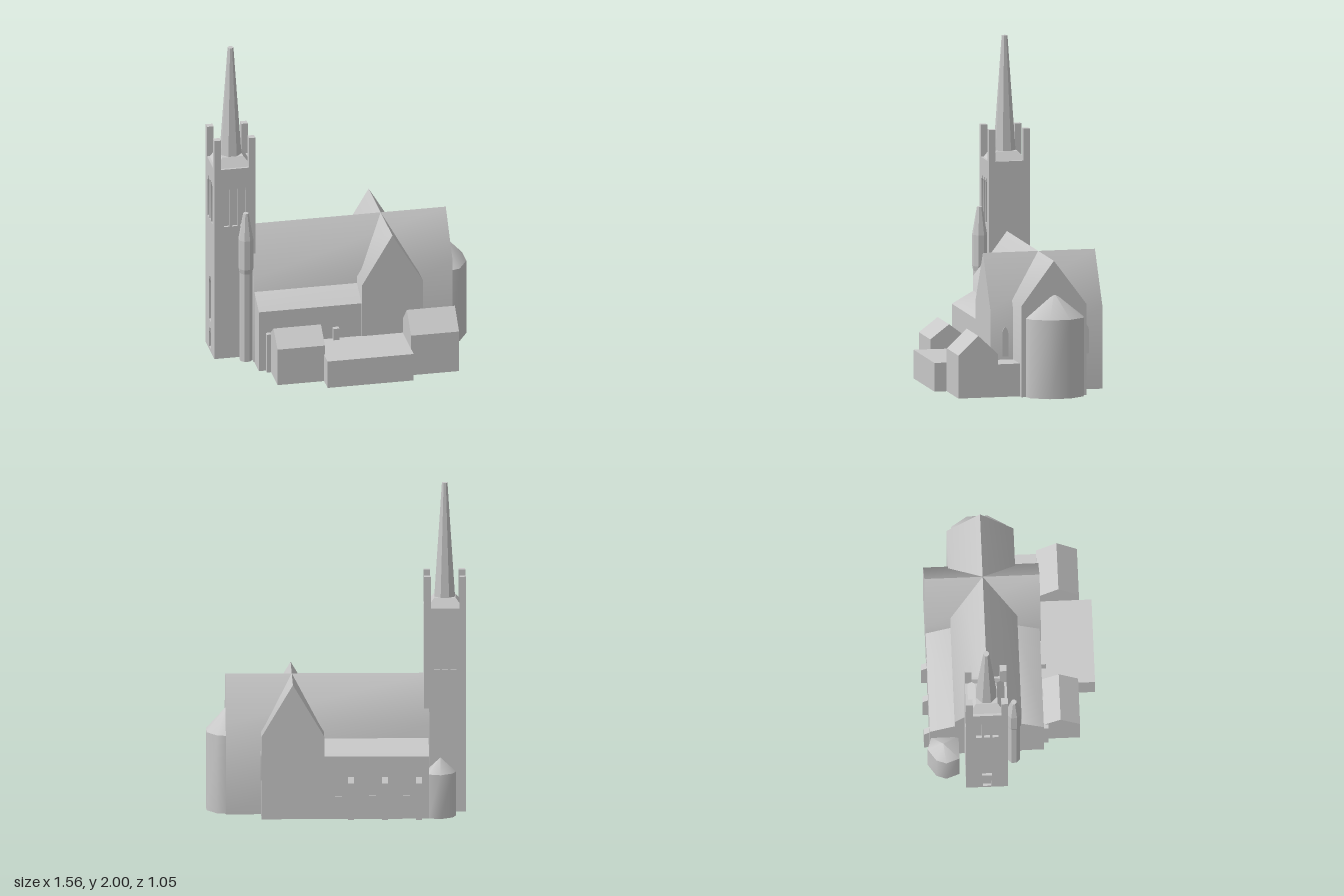
import * as THREE from 'three';
import { toCreasedNormals } from 'three/addons/utils/BufferGeometryUtils.js';

const stone = new THREE.MeshStandardMaterial({ color: 0xc8c8c8 });
stone.name = 'pale stone';

export function createModel() {
  const model = new THREE.Group();
  model.name = 'church';

  const add = (name, geo, x = 0, y = 0, z = 0, ry = 0) => {
    const mesh = new THREE.Mesh(geo, stone);
    mesh.name = name;
    mesh.position.set(x, y, z);
    mesh.rotation.y = ry;
    model.add(mesh);
  };

  // Box given by its limits on each axis
  const block = (name, x0, x1, y0, y1, z0, z1) =>
    add(name, new THREE.BoxGeometry(x1 - x0, y1 - y0, z1 - z0), (x0 + x1) / 2, (y0 + y1) / 2, (z0 + z1) / 2);

  // Extrusion whose shallow edges, such as steep eaves, shade smoothly
  const polygon = (pts) => new THREE.Shape(pts.map(([a, b]) => new THREE.Vector2(a, b)));
  const extrude = (shape, depth) =>
    toCreasedNormals(new THREE.ExtrudeGeometry(shape, { depth, bevelEnabled: false, curveSegments: 6 }), 0.75);

  // Profile in (z, y) swept along x
  const sweepX = (name, pts, x0, x1) =>
    add(name, extrude(polygon(pts.map(([z, y]) => [-z, y])), x1 - x0), x0, 0, 0, Math.PI / 2);

  // Gabled volume with its ridge along x
  const gableX = (name, x0, x1, z0, z1, eave, ridge) =>
    sweepX(name, [[z0, 0], [z1, 0], [z1, eave], [(z0 + z1) / 2, ridge], [z0, eave]], x0, x1);

  // Pointed window outline
  const lancet = (PathType, x, y0, y1, w) => {
    const p = new PathType();
    const spring = y1 - w * 1.1;
    p.moveTo(x - w / 2, y0);
    p.lineTo(x + w / 2, y0);
    p.lineTo(x + w / 2, spring);
    p.quadraticCurveTo(x + w / 2, y1 - w * 0.5, x, y1);
    p.quadraticCurveTo(x - w / 2, y1 - w * 0.5, x - w / 2, spring);
    p.closePath();
    return p;
  };

  // Wall panel pierced by windows [x, bottom, top, width]
  const panel = (width, height, depth, windows) => {
    const w = width / 2;
    const shape = polygon([[-w, 0], [w, 0], [w, height], [-w, height]]);
    windows.forEach((o) => shape.holes.push(lancet(THREE.Path, ...o)));
    return extrude(shape, depth);
  };

  // Many-sided wall with a pointed roof over the outline [x, z]
  const roundedBay = (name, pts, eave, apex) => {
    const wall = [], roof = [];
    pts.forEach(([ax, az], i) => {
      const [bx, bz] = pts[(i + 1) % pts.length];
      wall.push(ax, 0, az, bx, 0, bz, bx, eave, bz, ax, 0, az, bx, eave, bz, ax, eave, az);
      roof.push(ax, eave, az, bx, eave, bz, ...apex);
    });
    [['Wall', wall], ['Roof', roof]].forEach(([part, list]) => {
      const g = new THREE.BufferGeometry();
      g.setAttribute('position', new THREE.Float32BufferAttribute(list, 3));
      add(name + part, toCreasedNormals(g, 1.1));
    });
    const floor = new THREE.ShapeGeometry(polygon(pts));
    floor.rotateX(Math.PI / 2);
    add(name + 'Floor', floor);
  };

  // Nave and chancel under one long roof
  gableX('nave', -0.56, 0.667, -0.338, 0.066, 0.555, 0.825);

  // Transept crossing the nave
  const crossProfile = [[0.077, 0], [0.455, 0], [0.455, 0.508], [0.266, 0.825], [0.077, 0.508]];
  add('transept', extrude(polygon(crossProfile), 0.695), 0, 0, -0.488);
  for (const z of [-0.385, 0.115]) {
    const plate = extrude(lancet(THREE.Shape, 0, 0.22, 0.4, 0.036), 0.005);
    add('transeptWindow', plate, 0.455, 0, z, Math.PI / 2);
  }

  // Lean-to aisles; the north wall has recessed lancets
  sweepX('southAisle', [[0, 0], [0.2, 0], [0.2, 0.39], [0.066, 0.465], [0, 0.465]], -0.555, 0.08);
  sweepX('northAisle', [[-0.3, 0], [-0.3, 0.465], [-0.338, 0.465], [-0.488, 0.384], [-0.488, 0.383],
    [-0.473, 0.383], [-0.473, 0]], -0.555, 0.08);
  const aisleWindows = [-0.42, -0.215, -0.01].map((x) => [-(x + 0.2375), 0.14, 0.28, 0.042]);
  add('northAisleWall', panel(0.635, 0.383, 0.015, aisleWindows), -0.2375, 0, -0.473, Math.PI);

  // Buttresses, sloped on the north and flat-topped on the south
  for (const x of [-0.495, -0.288, -0.083]) {
    for (const [wall, out, low, high] of [[-0.48, -0.522, 0.225, 0.265], [0.19, 0.23, 0.25, 0.25]]) {
      sweepX('buttress', [[wall, 0], [out, 0], [out, low], [wall, high]], x - 0.018, x + 0.018);
    }
  }

  // Apse at the east end
  roundedBay('apse', [[0.64, 0.038], [0.665, 0.038], [0.72, 0.022], [0.782, -0.083], [0.782, -0.21],
    [0.72, -0.307], [0.665, -0.322], [0.64, -0.322]], 0.48, [0.655, 0.63, -0.14]);

  // Low baptistery bay beside the tower
  roundedBay('baptistery', [[-0.55, -0.315], [-0.55, -0.48], [-0.625, -0.505], [-0.698, -0.455],
    [-0.72, -0.395], [-0.692, -0.315]], 0.27, [-0.625, 0.36, -0.41]);

  // Vestries and hall along the south side
  gableX('westVestry', -0.487, -0.195, 0.187, 0.421, 0.235, 0.323);
  block('flatHall', -0.2, 0.33, 0, 0.175, 0.19, 0.523);
  gableX('eastVestry', 0.33, 0.626, 0.2, 0.447, 0.262, 0.378);
  block('linkRoom', 0.45, 0.626, 0, 0.2, 0.06, 0.21);

  // Tower: core and four walls, three of them pierced
  const tx = -0.656, tz = -0.152, half = 0.126, inset = 0.015, top = 1.25;
  block('towerCore', tx - half + inset, tx + half - inset, 0, top - 0.005, tz - half + inset, tz + half - inset);
  const belfry = [-0.05, 0, 0.05].map((x) => [x, 0.87, 1.14, 0.036]);
  const westDoor = [[0, 0.2, 0.5, 0.06], [0, 0.02, 0.16, 0.05]];
  const sides = [belfry, [], belfry, [...belfry, ...westDoor]];
  sides.forEach((windows, i) => {
    const a = i * Math.PI / 2;
    const width = i % 2 ? 2 * (half - inset) : 2 * half;
    add('towerWall', panel(width, top, inset, windows),
      tx + Math.sin(a) * (half - inset), 0, tz + Math.cos(a) * (half - inset), a);
  });

  // Corner pinnacles
  for (const sx of [-1, 1]) {
    for (const sz of [-1, 1]) {
      add('pinnacle', new THREE.BoxGeometry(0.04, 0.215, 0.04), tx + sx * 0.106, 1.3375, tz + sz * 0.106);
    }
  }

  // Spire rising from a low pyramid
  const faceted = (rTop, rBottom, h, n) => {
    const g = new THREE.CylinderGeometry(rTop, rBottom, h, n).toNonIndexed();
    g.rotateY(Math.PI / n);
    g.computeVertexNormals();
    return g;
  };
  add('spireBase', faceted(0.092, 0.157, 0.055, 4), tx, 1.275, tz);
  add('spire', faceted(0.018, 0.07, 0.74, 8), tx, 1.63, tz);

  // Slim stair turret with its own small spire
  const sx = -0.597, sz = 0.017;
  add('turretShaft', faceted(0.04, 0.04, 0.58, 8), sx, 0.29, sz);
  add('turretCorbel', faceted(0.046, 0.04, 0.03, 8), sx, 0.595, sz);
  add('turretUpper', faceted(0.046, 0.046, 0.19, 8), sx, 0.705, sz);
  add('turretSpire', faceted(0.017, 0.046, 0.17, 8), sx, 0.885, sz);

  return model;
}
